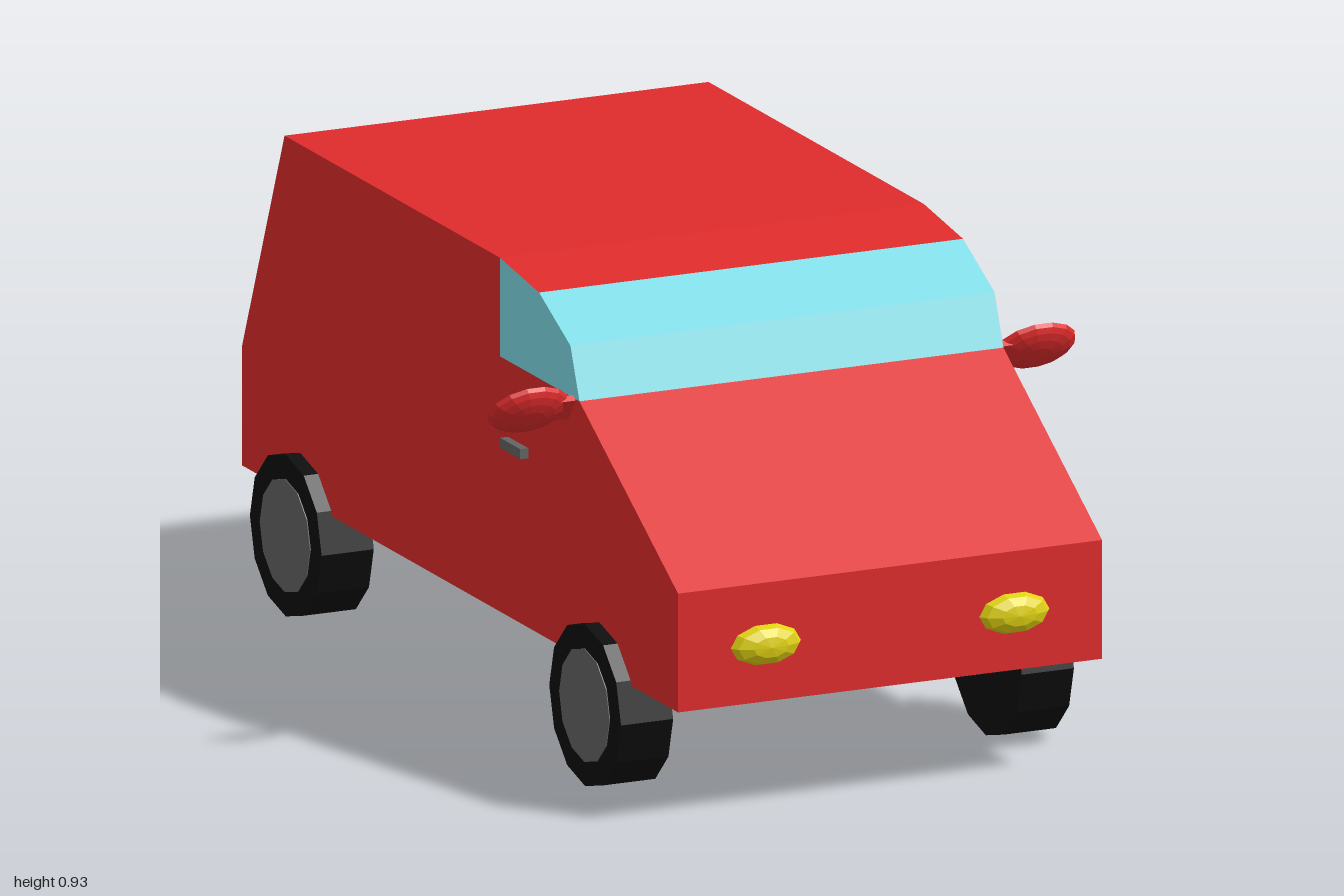
import * as THREE from 'three';

const material = (color, side = THREE.FrontSide) =>
  new THREE.MeshStandardMaterial({ color, flatShading: true, side });
const red = material(0xdf2b2b, THREE.DoubleSide);
const glass = material(0x7fdde6, THREE.DoubleSide);
const dark = material(0x303030, THREE.DoubleSide);
const yellow = material(0xe0d212);
const black = material(0x0d0d0d);
const grey = material(0x646464);

const W = 0.447; // half width of the body

// Body outline as [z, y], from the front bumper over the roof to the tail
const noseLow = [0.97, 0.23], nose = [0.97, 0.465], cowl = [0.53, 0.735];
const screenMid = [0.49, 0.835], screenTop = [0.35, 0.905], roofFront = [0.175, 0.93];
const roofRear = [-0.785, 0.93], rearSill = [-0.885, 0.685];
const tail = [-0.975, 0.465], tailLow = [-0.975, 0.23];
const pillar = [0.175, 0.735];

export function createModel() {
  const car = new THREE.Group();
  car.name = 'van';

  const add = (name, geometry, mat, x = 0, y = 0, z = 0, parent = car) => {
    const mesh = new THREE.Mesh(geometry, mat);
    mesh.name = name;
    mesh.position.set(x, y, z);
    parent.add(mesh);
    return mesh;
  };

  // Flat panel spanning the full width between two outline points
  const panel = (name, [z0, y0], [z1, y1], mat) => {
    const g = new THREE.BufferGeometry();
    g.setAttribute('position', new THREE.Float32BufferAttribute(
      [W, y0, z0, W, y1, z1, -W, y1, z1, -W, y0, z0], 3));
    g.setIndex([0, 1, 2, 0, 2, 3]);
    g.computeVertexNormals();
    add(name, g, mat);
  };

  // Flat side panel; s = 1 is left, s = -1 is right
  const sidePanel = (name, points, mat, s) => {
    const shape = new THREE.Shape(points.map(([z, y]) => new THREE.Vector2(-s * z, y)));
    add(name, new THREE.ShapeGeometry(shape).rotateY(s * Math.PI / 2), mat, s * W);
  };

  // Body shell
  panel('frontPanel', noseLow, nose, red);
  panel('hood', nose, cowl, red);
  panel('windshieldLower', cowl, screenMid, glass);
  panel('windshieldUpper', screenMid, screenTop, glass);
  panel('roofFront', screenTop, roofFront, red);
  panel('roof', roofFront, roofRear, red);
  panel('rearWindow', roofRear, rearSill, glass);
  panel('tailgate', rearSill, tail, red);
  panel('rearPanel', tail, tailLow, red);
  panel('underside', tailLow, noseLow, dark);

  for (const s of [1, -1]) {
    const side = s > 0 ? 'left' : 'right';
    sidePanel(side + 'BodySide',
      [noseLow, nose, cowl, pillar, roofFront, roofRear, tail, tailLow], red, s);
    sidePanel(side + 'SideWindow',
      [cowl, screenMid, screenTop, roofFront, pillar], glass, s);
    add(side + 'DoorHandle', new THREE.BoxGeometry(0.03, 0.02, 0.09), grey, s * 0.449, 0.575, 0.257);

    // Wheels with hub caps on the outer face
    for (const [end, z] of [['Front', 0.62], ['Rear', -0.715]]) {
      const wheel = new THREE.Group();
      wheel.name = side + end + 'Wheel';
      wheel.position.set(s * 0.4225, 0.16, z);
      car.add(wheel);
      add('tyre', new THREE.CylinderGeometry(0.16, 0.16, 0.11, 12)
        .rotateZ(Math.PI / 2), black, 0, 0, 0, wheel);
      add('hubCap', new THREE.CylinderGeometry(0.112, 0.112, 0.004, 12)
        .rotateZ(Math.PI / 2), grey, s * 0.055, 0, 0, wheel);
    }

    // Head and tail lamps
    for (const [name, z] of [['Headlight', 0.97], ['TailLight', -0.972]]) {
      add(side + name, new THREE.SphereGeometry(1, 10, 6)
        .rotateX(Math.PI / 2).scale(0.074, 0.041, 0.03), yellow, s * 0.262, 0.343, z);
    }

    // Door mirror: oval dome with a glass face turned back and up
    const mirror = new THREE.Group();
    mirror.name = side + 'Mirror';
    mirror.position.set(s * 0.535, 0.72, 0.485);
    mirror.rotation.x = -0.93;
    car.add(mirror);
    add('mirrorShell', new THREE.SphereGeometry(1, 14, 5, 0, Math.PI * 2, Math.PI / 2, Math.PI / 2)
      .scale(0.084, 0.028, 0.064), red, 0, 0, 0, mirror);
    add('mirrorRim', new THREE.CircleGeometry(1, 14)
      .rotateX(-Math.PI / 2).scale(0.084, 1, 0.064), red, 0, 0, 0, mirror);
    add('mirrorGlass', new THREE.CircleGeometry(1, 14)
      .rotateX(-Math.PI / 2).scale(0.067, 1, 0.05), glass, 0, 0.003, 0, mirror);
    add('mirrorArm', new THREE.BoxGeometry(0.04, 0.014, 0.055), red, s * -0.075, -0.009, 0, mirror);
  }

  return car;
}
